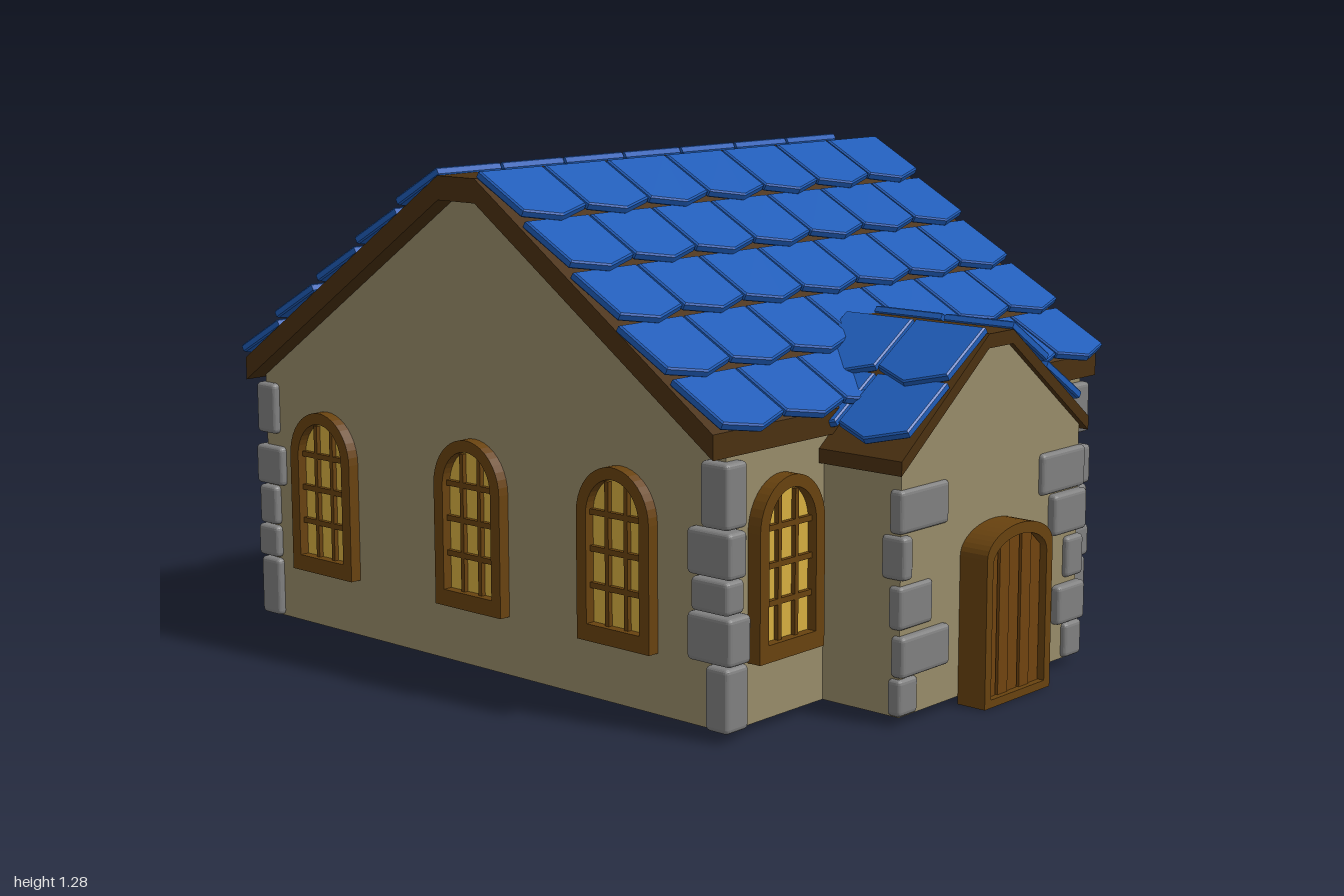
import * as THREE from 'three';
import { RoundedBoxGeometry } from 'three/addons/geometries/RoundedBoxGeometry.js';

const mat = (color) => new THREE.MeshStandardMaterial({ color, flatShading: true });
const M = {
  wall: mat(0x978b69), tile: mat(0x1f5cb8), beam: mat(0x4a3010), frame: mat(0x68420f),
  plank: mat(0x70440f), glass: mat(0xd6ae40), stone: mat(0x808080),
};

function add(parent, name, geometry, material, x = 0, y = 0, z = 0) {
  const mesh = new THREE.Mesh(geometry, material);
  mesh.name = name;
  mesh.position.set(x, y, z);
  parent.add(mesh);
  return mesh;
}

function namedGroup(parent, name, x = 0, y = 0, z = 0, turn = 0) {
  const g = new THREE.Group();
  g.name = name;
  g.position.set(x, y, z);
  g.rotation.y = turn;
  parent.add(g);
  return g;
}

// Extrude a closed outline along z from z0 to z1
function prism(points, z0, z1) {
  const shape = new THREE.Shape(points.map(([x, y]) => new THREE.Vector2(x, y)));
  return new THREE.ExtrudeGeometry(shape, { depth: z1 - z0, bevelEnabled: false }).translate(0, 0, z0);
}

// Shingle with a pointed lower edge: width along x, length along y
function tileGeometry(w, l, point) {
  const b = 0.004;
  const h = w / 2 - b;
  const s = new THREE.Shape();
  s.moveTo(-h, b);
  s.lineTo(h, b);
  s.lineTo(h, l - point);
  s.lineTo(0, l - b);
  s.lineTo(-h, l - point);
  s.closePath();
  return new THREE.ExtrudeGeometry(s, {
    depth: 0.014, bevelEnabled: true, bevelSize: b, bevelThickness: b, bevelSegments: 1,
  }).translate(0, 0, b);
}

// Gabled wing with its ridge along local z: walls, roof deck and rows of shingles
function wing(g, p) {
  const slope = (p.top - p.eave) / (p.half - p.flat);
  const t = p.thick;
  const wallTop = p.eave + (p.half - p.wallHalf) * slope - t + 0.008;
  add(g, 'walls', prism([
    [-p.wallHalf, 0.02], [p.wallHalf, 0.02], [p.wallHalf, wallTop],
    [p.flat, p.top - t + 0.008], [-p.flat, p.top - t + 0.008], [-p.wallHalf, wallTop],
  ], ...p.wallZ), M.wall);
  add(g, 'roofDeck', prism([
    [-p.half, p.eave - t], [-p.flat, p.top - t], [p.flat, p.top - t], [p.half, p.eave - t],
    [p.half, p.eave], [p.flat, p.top], [-p.flat, p.top], [-p.half, p.eave],
  ], ...p.deckZ), M.beam);

  const tiles = namedGroup(g, 'roofTiles');
  const [z0, z1] = p.tileZ;
  const pitchZ = (z1 - z0) / p.cols;
  const geo = tileGeometry(pitchZ - 0.009, p.length, p.point);
  for (const s of [-1, 1]) {
    for (let r = 0; r < p.rows; r++) {
      const off = p.flat + r * p.pitch;
      const widen = r === p.wideRow ? 1.015 : 1;
      for (let c = 0; c < p.cols; c++) {
        const mesh = add(tiles, 'roofTile', geo, M.tile);
        const cos = Math.cos(p.tilt), sin = Math.sin(p.tilt);
        mesh.quaternion.setFromRotationMatrix(new THREE.Matrix4().makeBasis(
          new THREE.Vector3(0, 0, s),
          new THREE.Vector3(s * cos, -sin, 0),
          new THREE.Vector3(s * sin, cos, 0),
        ));
        const mid = (z0 + z1) / 2;
        const z = z0 + (c + 0.5) * pitchZ;
        mesh.position.set(s * off, p.top - (off - p.flat) * slope, mid + (z - mid) * widen);
        mesh.scale.x = widen;
      }
    }
  }
}

// Arched outline standing on y = base
function arch(PathType, w, base, top, rise) {
  const a = new PathType();
  a.moveTo(-w / 2, base);
  a.lineTo(w / 2, base);
  a.lineTo(w / 2, top - rise);
  a.absellipse(0, top - rise, w / 2, rise, 0, Math.PI, false);
  a.closePath();
  return a;
}

const slab = (shape, depth) =>
  new THREE.ExtrudeGeometry(shape, { depth, bevelEnabled: false, curveSegments: 10 });

// Arched window facing local +z, its back on z = 0
function makeWindow(parent, x, y, z, turn) {
  const g = namedGroup(parent, 'window', x, y, z, turn);
  const frame = arch(THREE.Shape, 0.236, 0, 0.435, 0.125);
  frame.holes.push(arch(THREE.Path, 0.172, 0.042, 0.405, 0.095));
  add(g, 'windowFrame', slab(frame, 0.038), M.frame);
  add(g, 'windowGlass', slab(arch(THREE.Shape, 0.18, 0.036, 0.41, 0.1), 0.012), M.glass);
  for (const s of [-1, 1]) {
    add(g, 'windowBar', new THREE.BoxGeometry(0.012, 0.36, 0.02), M.frame, s * 0.031, 0.215, 0.014);
  }
  for (const h of [0.135, 0.225, 0.315]) {
    add(g, 'windowCrossbar', new THREE.BoxGeometry(0.176, 0.014, 0.02), M.frame, 0, h, 0.014);
  }
}

// Arched plank door facing local +z
function makeDoor(parent, x, z, turn, depth) {
  const g = namedGroup(parent, 'door', x, 0, z, turn);
  const frame = arch(THREE.Shape, 0.276, 0, 0.44, 0.07);
  frame.holes.push(arch(THREE.Path, 0.226, 0.02, 0.412, 0.06));
  add(g, 'doorFrame', slab(frame, depth), M.frame);
  add(g, 'doorBacking', slab(arch(THREE.Shape, 0.24, 0.01, 0.42, 0.065), depth - 0.03), M.beam);
  for (let i = -2; i <= 2; i++) {
    const w = 0.04, c = i * 0.045;
    const top = (u) => 0.352 + 0.06 * Math.sqrt(Math.max(0, 1 - (u / 0.113) ** 2));
    add(g, 'doorPlank', prism([
      [c - w / 2, 0.015], [c + w / 2, 0.015], [c + w / 2, top(c + w / 2)], [c - w / 2, top(c - w / 2)],
    ], 0, depth - 0.018 + (i % 2 ? 0.004 : 0)), M.plank);
  }
}

// Column of corner stones; each row is [bottom, top, width in x, width in z]
function cornerStones(parent, cx, cz, out, rows) {
  const g = namedGroup(parent, 'cornerStones');
  const sx = Math.sign(cx - parent.userData.midX), sz = Math.sign(cz);
  rows.forEach(([y0, y1, w, d], i) => {
    const o = out + (i % 2 ? 0.008 : 0);
    add(g, 'cornerStone', new RoundedBoxGeometry(w, y1 - y0 - 0.004, d, 2, 0.012), M.stone,
      cx + sx * (o - w / 2), (y0 + y1) / 2, cz + sz * (out - d / 2));
  });
}

export function createModel() {
  const house = new THREE.Group();
  house.name = 'house';
  const mid = -0.13;
  house.userData.midX = mid;

  // Main building
  wing(namedGroup(house, 'mainBuilding', mid), {
    half: 0.83, flat: 0.065, top: 1.26, eave: 0.73, thick: 0.06,
    wallHalf: 0.82, wallZ: [-0.725, 0.725], deckZ: [-0.782, 0.782],
    rows: 5, cols: 7, pitch: 0.157, length: 0.207, point: 0.036, tilt: 0.506,
    tileZ: [-0.78, 0.78], wideRow: 3,
  });

  // Porch, ridge turned along x
  wing(namedGroup(house, 'porch', 0, 0, 0, Math.PI / 2), {
    half: 0.39, flat: 0.05, top: 0.9, eave: 0.64, thick: 0.035,
    wallHalf: 0.37, wallZ: [0.5, 0.92], deckZ: [0.5, 0.935],
    rows: 2, cols: 2, pitch: 0.15, length: 0.222, point: 0.045, tilt: 0.57,
    tileZ: [0.505, 0.935], wideRow: -1,
  });

  // Windows: gable ends repeat by a half turn, side walls have a pair each
  for (const x of [-0.57, -0.01, 0.49]) {
    makeWindow(house, mid + x, 0.17, 0.718, 0);
    makeWindow(house, mid - x, 0.17, -0.718, Math.PI);
  }
  for (const z of [-0.53, 0.53]) {
    makeWindow(house, 0.69, 0.17, z, Math.PI / 2);
    makeWindow(house, -0.95, 0.17, z, -Math.PI / 2);
  }

  // Doors
  makeDoor(house, 0.92, -0.005, Math.PI / 2, 0.08);
  makeDoor(house, -0.94, -0.005, -Math.PI / 2, 0.06);

  // Corner stones of the main building
  const broad = [
    [0.5, 0.66, 0.085, 0.075], [0.385, 0.5, 0.135, 0.065], [0.3, 0.385, 0.115, 0.065],
    [0.18, 0.3, 0.135, 0.08], [0.02, 0.18, 0.07, 0.08],
  ];
  const narrow = [
    [0.52, 0.66, 0.075, 0.08], [0.38, 0.49, 0.105, 0.065], [0.27, 0.38, 0.07, 0.065],
    [0.18, 0.27, 0.08, 0.085], [0.02, 0.18, 0.075, 0.075],
  ];
  cornerStones(house, 0.69, 0.725, 0.025, broad);
  cornerStones(house, -0.95, -0.725, 0.02, broad);
  cornerStones(house, -0.95, 0.725, 0.02, narrow);
  cornerStones(house, 0.69, -0.725, 0.02, narrow);

  // Corner stones of the porch
  cornerStones(house, 0.92, 0.37, 0.01, [
    [0.46, 0.57, 0.04, 0.19], [0.35, 0.46, 0.07, 0.04], [0.23, 0.34, 0.04, 0.13],
    [0.115, 0.22, 0.04, 0.19], [0.02, 0.115, 0.04, 0.075],
  ]);
  cornerStones(house, 0.92, -0.37, 0.015, [
    [0.46, 0.57, 0.05, 0.19], [0.35, 0.46, 0.07, 0.145], [0.23, 0.34, 0.04, 0.075],
    [0.115, 0.22, 0.05, 0.12], [0.02, 0.115, 0.04, 0.075],
  ]);

  return house;
}
